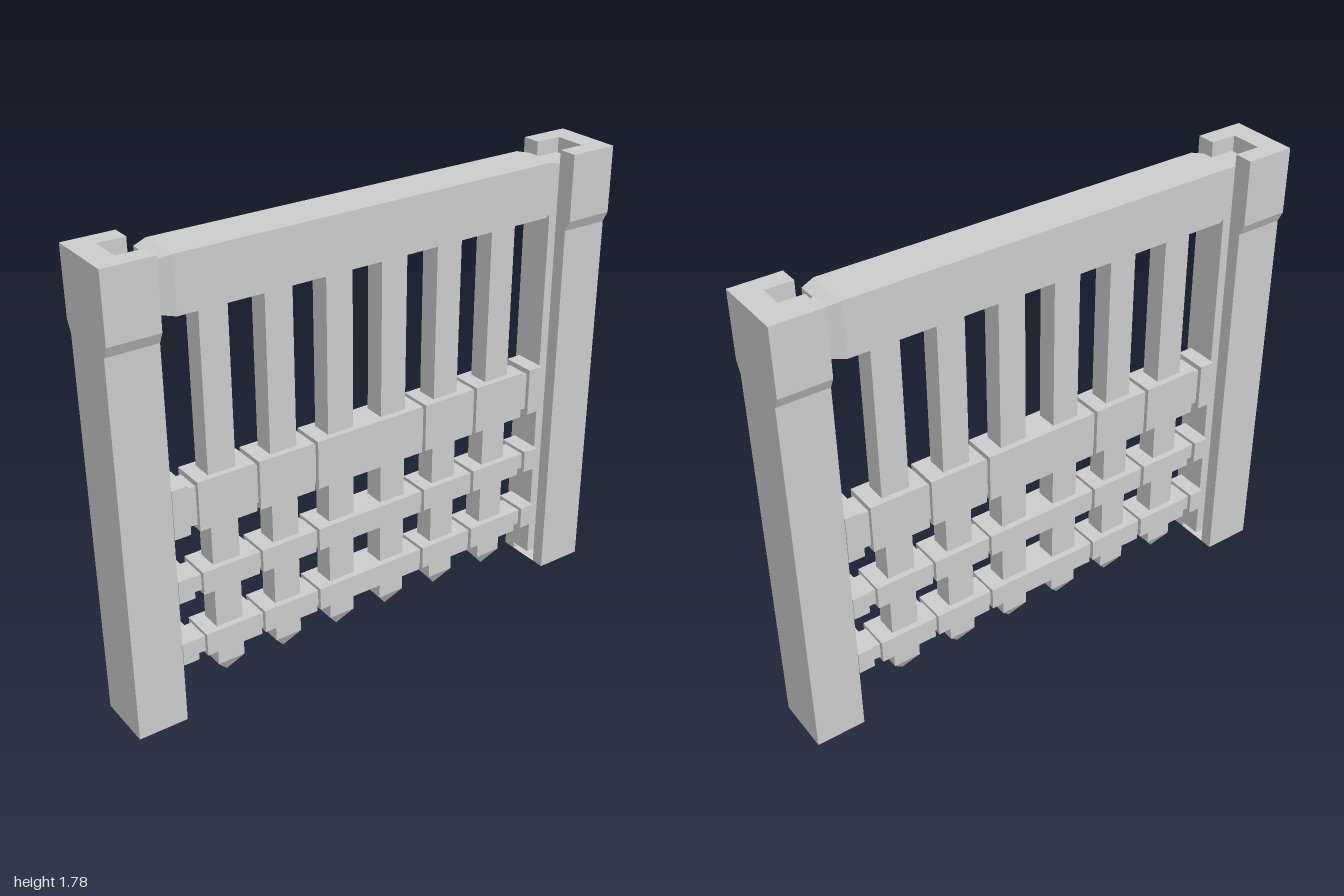
import * as THREE from 'three';

const material = new THREE.MeshStandardMaterial({ color: 0xcccccc, flatShading: true });

function add(parent, name, geometry) {
  const mesh = new THREE.Mesh(geometry, material);
  mesh.name = name;
  parent.add(mesh);
  return mesh;
}

// Box given by its limits on each axis
function box(x0, x1, y0, y1, z0, z1) {
  return new THREE.BoxGeometry(x1 - x0, y1 - y0, z1 - z0)
    .translate((x0 + x1) / 2, (y0 + y1) / 2, (z0 + z1) / 2);
}

// Move every vertex by a rule, then refresh the normals
function reshape(geometry, rule) {
  const p = geometry.attributes.position;
  const v = new THREE.Vector3();
  for (let i = 0; i < p.count; i++) {
    rule(v.fromBufferAttribute(p, i));
    p.setXYZ(i, v.x, v.y, v.z);
  }
  geometry.computeVertexNormals();
  return geometry;
}

// Box whose bottom face shrinks toward its centre
function taperedBox(width, depth, y0, y1, scale) {
  return reshape(box(-width / 2, width / 2, y0, y1, -depth / 2, depth / 2), (v) => {
    if (v.y < (y0 + y1) / 2) {
      v.x *= scale;
      v.z *= scale;
    }
  });
}

// Grooved post on the +x side, with a flared head and a blunt point
function createPost() {
  const post = new THREE.Group();
  const outline = new THREE.Shape([
    [0.815, -0.11], [1, -0.11], [1, 0.11], [0.815, 0.11],
    [0.815, 0.06], [0.915, 0.06], [0.915, -0.06], [0.815, -0.06],
  ].map(([x, y]) => new THREE.Vector2(x, y)));
  const levels = [0.07, 1.5, 1.54, 1.785];
  const shaft = new THREE.ExtrudeGeometry(outline, { depth: 3, steps: 3, bevelEnabled: false });
  shaft.rotateX(-Math.PI / 2);
  reshape(shaft, (v) => {
    const level = Math.round(v.y);
    v.y = levels[level];
    if (level > 1 && Math.abs(v.z) > 0.1) v.z = Math.sign(v.z) * 0.13;
  });
  add(post, 'postShaft', shaft);
  add(post, 'postPoint', taperedBox(0.185, 0.22, 0, 0.07, 0.12)).position.x = 0.9075;
  add(post, 'guideBar', box(0.79, 0.9, 0.12, 1.735, -0.05, 0.05));
  return post;
}

export function createModel() {
  const model = new THREE.Group();
  model.name = 'gate';

  // Posts: the left one is the right one turned around
  for (const [name, turn] of [['leftPost', 0], ['rightPost', Math.PI]]) {
    const post = createPost();
    post.name = name;
    post.rotation.y = turn;
    model.add(post);
  }

  // Top beam with chamfered ends
  const beam = new THREE.BoxGeometry(1.58, 0.2, 0.17, 3, 1, 1);
  reshape(beam, (v) => {
    if (Math.abs(v.x) > 0.7) {
      v.y *= 0.88;
      v.z *= 0.83;
    } else {
      v.x = Math.sign(v.x) * 0.74;
    }
  });
  add(model, 'topBeam', beam).position.y = 1.658;

  // Upright bars with pointed feet
  const bars = new THREE.Group();
  bars.name = 'uprightBars';
  model.add(bars);
  for (const x of [-0.59, -0.35, -0.115, 0.11, 0.345, 0.585]) {
    add(bars, 'bar', box(-0.0525, 0.0525, 0.185, 1.57, -0.04, 0.04)).position.x = x;
    add(bars, 'barPoint', taperedBox(0.105, 0.08, 0.12, 0.185, 0.01)).position.x = x;
  }

  // Cross bands: thick plates strung on a thinner core
  const plates = [[-0.225, 0.225]];
  for (const [a, b] of [[0.24, 0.46], [0.475, 0.695], [0.73, 0.79]]) {
    plates.push([a, b], [-b, -a]);
  }
  for (const [y0, y1, inset] of [[0.768, 0.953, 0.02], [0.515, 0.603, 0.013], [0.26, 0.348, 0.013]]) {
    const band = new THREE.Group();
    band.name = 'crossBand';
    model.add(band);
    add(band, 'bandCore', box(-0.785, 0.785, y0 + inset, y1 - inset, -0.048, 0.048));
    for (const [x0, x1] of plates) {
      add(band, 'bandPlate', box(x0, x1, y0, y1, -0.064, 0.064));
    }
  }
  return model;
}
